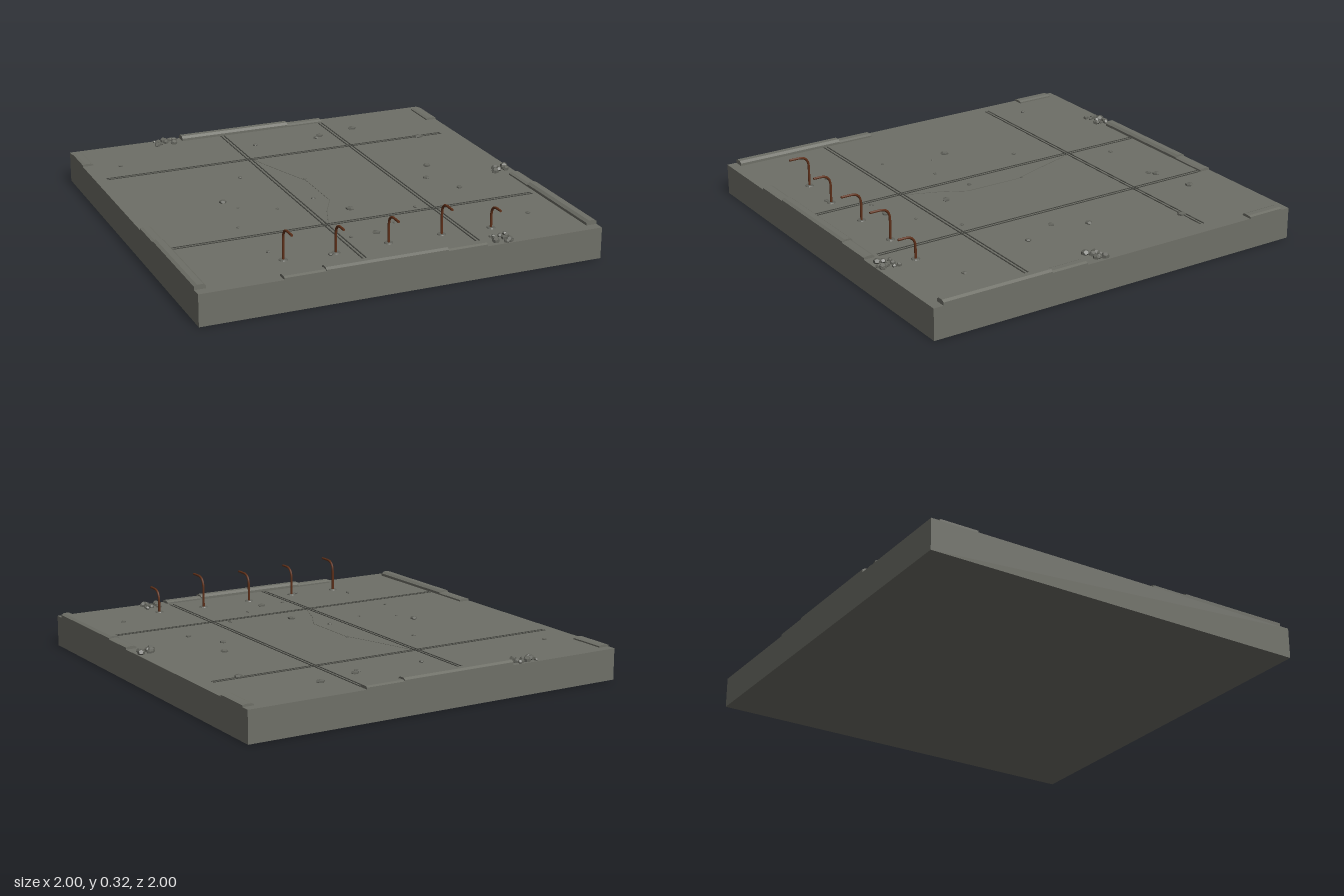
import * as THREE from 'three';

const concrete = new THREE.MeshStandardMaterial({ name: 'concrete', color: 0x6e6f67 });
const rubbleGrey = new THREE.MeshStandardMaterial({ name: 'rubble grey', color: 0x62635c });
const seamGrey = new THREE.MeshStandardMaterial({ name: 'seam grey', color: 0x41423d });
const rust = new THREE.MeshStandardMaterial({ name: 'rust', color: 0x5f3019 });
rubbleGrey.flatShading = true;

const TOP = 0.155;

export function createModel() {
  const model = new THREE.Group();
  model.name = 'concreteSlab';

  const add = (name, geometry, material, x = 0, y = 0, z = 0, parent = model) => {
    const mesh = new THREE.Mesh(geometry, material);
    mesh.name = name;
    mesh.position.set(x, y, z);
    parent.add(mesh);
    return mesh;
  };
  const box = (name, material, w, h, d, x, y, z) =>
    add(name, new THREE.BoxGeometry(w, h, d), material, x, y, z);

  // Slab
  box('slab', concrete, 2, TOP, 2, 0, TOP / 2, 0);

  // Expansion seams: two fine lines with a strip between
  const seam = (name, alongX, at, from, to) => {
    const length = to - from, mid = (from + to) / 2;
    for (const side of [-1, 1]) {
      const p = at + side * 0.009;
      if (alongX) box(name, seamGrey, length, 0.003, 0.006, mid, TOP + 0.0005, p);
      else box(name, seamGrey, 0.006, 0.003, length, p, TOP + 0.0005, mid);
    }
  };
  seam('backSeam', true, -0.533, -0.94, 0.92);
  seam('frontSeam', true, 0.466, -0.94, 0.92);
  seam('rightSeam', false, -0.177, -0.94, 0.94);
  seam('leftSeam', false, 0.388, -0.94, 0.92);

  // Hairline crack
  const crack = [[-0.16, 0.46], [-0.1, 0.3], [-0.03, 0.17], [-0.03, -0.13], [-0.09, -0.3], [-0.16, -0.52]];
  for (let i = 1; i < crack.length; i++) {
    const [x0, z0] = crack[i - 1], [x1, z1] = crack[i];
    const piece = box('crack', rubbleGrey, 0.003, 0.002, Math.hypot(x1 - x0, z1 - z0),
      (x0 + x1) / 2, TOP, (z0 + z1) / 2);
    piece.rotation.y = Math.atan2(x1 - x0, z1 - z0);
  }

  // Broken kerb pieces: bevelled profile, outer face on the slab's edge
  const kerb = (name, edge, from, to, height) => {
    const profile = new THREE.Shape();
    profile.moveTo(0, -0.002);
    profile.lineTo(0, height * 0.65);
    profile.lineTo(-0.014, height);
    profile.lineTo(-0.042, height);
    profile.lineTo(-0.055, height * 0.55);
    profile.lineTo(-0.055, -0.002);
    const g = new THREE.ExtrudeGeometry(profile, { depth: to - from, bevelEnabled: false });
    g.translate(1, TOP, -(to - from) / 2);
    const mid = (from + to) / 2;
    const mesh = add(name, g, concrete);
    mesh.rotation.y = { left: 0, right: Math.PI, front: -Math.PI / 2, back: Math.PI / 2 }[edge];
    if (edge === 'left' || edge === 'right') mesh.position.z = mid;
    else mesh.position.x = mid;
  };
  kerb('frontKerb', 'front', -0.6, -0.4, 0.014);
  kerb('frontKerb', 'front', -0.4, 0.2, 0.023);
  kerb('frontKerb', 'front', 0.2, 0.4, 0.014);
  kerb('backKerb', 'back', -0.4, 0.2, 0.023);
  kerb('backKerb', 'back', 0.2, 0.4, 0.014);
  for (const edge of ['left', 'right']) {
    kerb(edge + 'Kerb', edge, 0.38, 0.95, 0.023);
    kerb(edge + 'Kerb', edge, 0.19, 0.38, 0.014);
    kerb(edge + 'BackKerb', edge, -0.955, -0.76, 0.012);
  }

  // Bent reinforcing bars with a collar at the base: x, z, top height
  const bars = [[-0.52, 0.785, 0.315], [-0.27, 0.8, 0.303], [0, 0.785, 0.3],
    [0.27, 0.785, 0.317], [0.52, 0.8, 0.274]];
  for (const [x, z, top] of bars) {
    const bar = new THREE.Group();
    bar.name = 'bentBar';
    model.add(bar);
    const path = new THREE.CurvePath();
    const v = (y, dz) => new THREE.Vector3(x, y, z + dz);
    path.add(new THREE.LineCurve3(v(TOP - 0.01, 0), v(top - 0.06, 0)));
    path.add(new THREE.QuadraticBezierCurve3(v(top - 0.06, 0), v(top - 0.006, 0), v(top - 0.004, 0.05)));
    path.add(new THREE.LineCurve3(v(top - 0.004, 0.05), v(top - 0.004, 0.89 - z)));
    add('bar', new THREE.TubeGeometry(path, 24, 0.006, 8), rust, 0, 0, 0, bar);
    const cap = add('barEnd', new THREE.CircleGeometry(0.006, 8), rust, x, top - 0.004, 0.89, bar);
    cap.rotation.z = Math.PI / 8;
    add('collar', new THREE.CylinderGeometry(0.019, 0.022, 0.006, 14), rubbleGrey, x, TOP + 0.002, z, bar);
  }

  // Loose stones
  let seed = 7;
  const rand = () => (seed = (seed * 16807) % 2147483647) / 2147483647;
  const stone = (name, x, z, r, flat = 0.45) => {
    const mesh = add(name, new THREE.DodecahedronGeometry(r), rubbleGrey, x, TOP + r * flat * 0.4, z);
    mesh.scale.set(1, flat, 0.75 + rand() * 0.3);
    mesh.rotation.y = rand() * 6.28;
  };
  const pebbles = [[-0.82, -0.69, 0.013], [-0.07, -0.73, 0.014], [0.3, -0.74, 0.02], [0.27, -0.715, 0.017],
    [0.51, -0.785, 0.022], [0.78, -0.52, 0.022], [-0.32, -0.295, 0.012], [-0.52, 0, 0.022],
    [-0.03, -0.15, 0.01], [0.62, -0.09, 0.02], [0.54, 0.07, 0.017], [-0.48, 0.1, 0.008],
    [-0.095, 0.12, 0.012], [-0.31, 0.185, 0.01], [0.63, 0.26, 0.015], [0.01, 0.32, 0.022],
    [-0.57, 0.34, 0.01], [0.31, 0.42, 0.013], [0.13, 0.565, 0.01], [0, 0.65, 0.02],
    [-0.13, 0.655, 0.011], [-0.55, 0.675, 0.014], [0.77, 0.7, 0.014], [-0.3, 0.81, 0.014]];
  for (const [x, z, r] of pebbles) stone('pebble', x, z, r);

  // Rubble piles at the edges
  for (const [cx, cz, w, d] of [[-0.51, -0.95, 0.07, 0.035], [0.94, 0.1, 0.045, 0.04], [0.51, 0.94, 0.06, 0.045]]) {
    for (let i = 0; i < 12; i++) {
      stone('rubble', cx + (rand() * 2 - 1) * w, cz + (rand() * 2 - 1) * d, 0.01 + rand() * 0.011, 0.85);
    }
  }
  return model;
}
